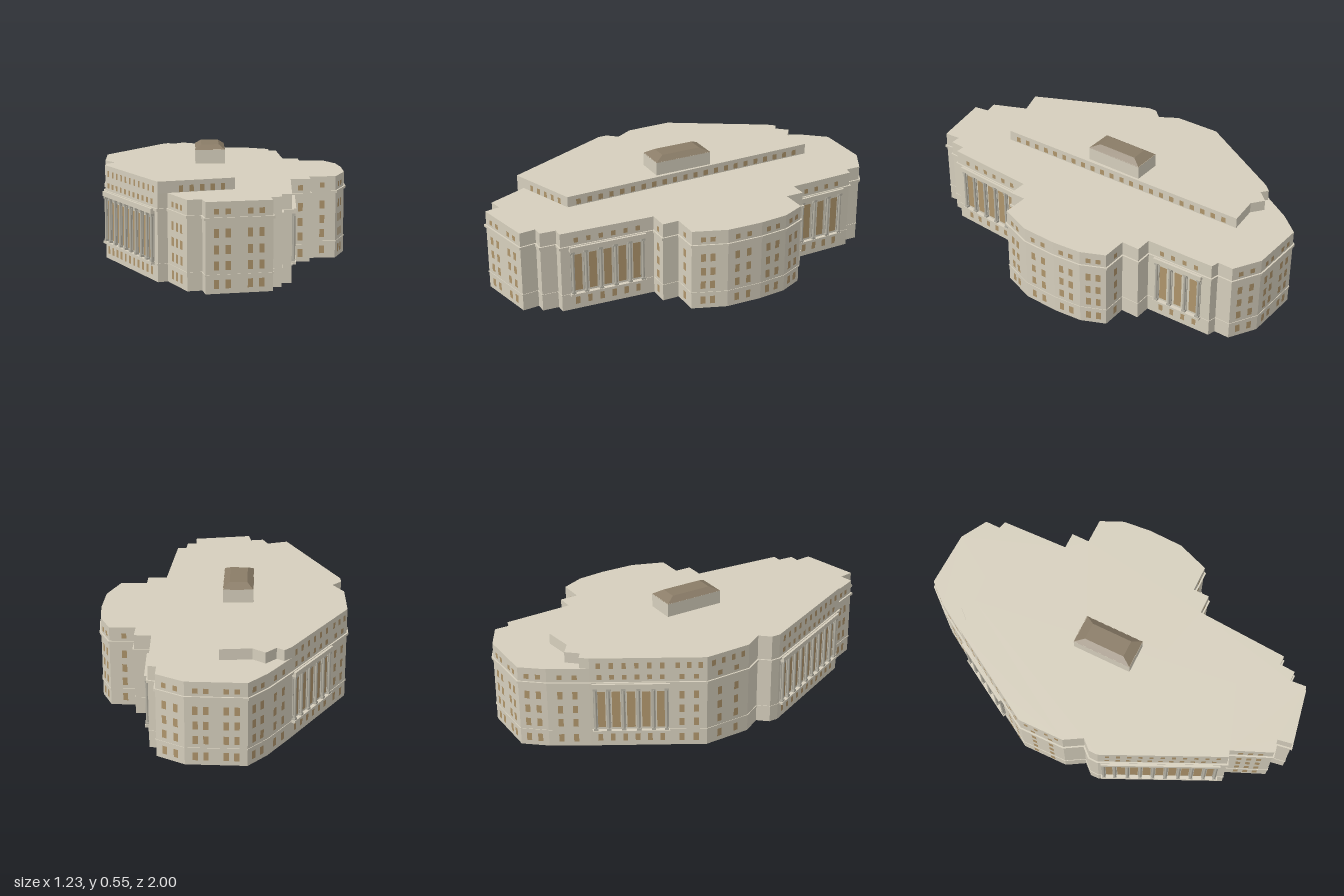
import * as THREE from 'three';
import { mergeGeometries } from 'three/addons/utils/BufferGeometryUtils.js';

const mat = (name, color) => {
  const m = new THREE.MeshStandardMaterial({ color });
  m.name = name;
  return m;
};

// Footprint corners [x, z], clockwise seen from above. Extra values describe the
// wall to the next corner: c = window columns, bays = colonnade bays, from/to = its extent.
const PLAN = [
  [-0.14, -0.993, { c: [0.17, 0.34, 0.66, 0.83] }],
  [0.142, -0.987, { c: [0.3, 0.7] }],
  [0.275, -0.912], [0.275, -0.835],
  [0.315, -0.825, { bays: 3, from: 0.15, to: 0.87, small: 4 }],
  [0.327, -0.48], [0.41, -0.48],
  [0.41, -0.388, { c: [0.45] }],
  [0.538, -0.388, { c: [0.3, 0.68] }],
  [0.591, -0.272, { c: [0.35, 0.72] }],
  [0.605, -0.13, { c: [0.38, 0.72] }],
  [0.6, 0.05, { c: [0.42, 0.68] }],
  [0.54, 0.213, { c: [0.5] }],
  [0.407, 0.213],
  [0.407, 0.297, { c: [0.5] }],
  [0.31, 0.297, { bays: 5, from: 0.11, to: 0.9, small: 6 }],
  [0.28, 0.77], [0.234, 0.77], [0.229, 0.85], [0.178, 0.85],
  [0.185, 0.932, { c: [0.17, 0.34, 0.67, 0.84] }],
  [-0.115, 0.99], [-0.128, 0.915],
  [-0.195, 0.928, { c: [0.28, 0.5, 0.72] }],
  [-0.283, 0.725],
  [-0.328, 0.742, { bays: 9, from: 0.06, to: 0.97, small: 11, attic: 11 }],
  [-0.598, 0.17], [-0.598, 0.125], [-0.553, 0.075],
  [-0.607, -0.015, { c: [0.3, 0.7], attic: 4 }],
  [-0.611, -0.25, { c: [0.3, 0.7], attic: 3 }],
  [-0.525, -0.395, { bays: 5, from: 0.03, to: 0.96, small: 6, attic: 6 }],
  [-0.333, -0.72, { c: [0.35, 0.7] }],
  [-0.228, -0.89, { c: [0.3, 0.7] }],
];
const ATTIC_EDGE = [[-0.333, -0.72], [-0.3, -0.755], [-0.265, -0.73], [-0.215, -0.785],
  [-0.155, -0.74], [-0.005, -0.755], [0.027, 0.62]];

// Upright prism over a plan polygon
function prism(points, y0, y1) {
  const shape = new THREE.Shape(points.map(([x, z]) => new THREE.Vector2(x, -z)));
  const g = new THREE.ExtrudeGeometry(shape, { depth: y1 - y0, bevelEnabled: false });
  return g.rotateX(-Math.PI / 2).translate(0, y0, 0);
}

// Outward direction of the wall a-b
function wall(a, b) {
  const dx = b[0] - a[0], dz = b[1] - a[1], len = Math.hypot(dx, dz);
  return { dx, dz, len, nx: dz / len, nz: -dx / len };
}

// Moves a geometry onto the wall a-b at fraction t, height y and distance out
function place(g, a, b, t, y, out = 0) {
  const w = wall(a, b);
  return g.rotateY(Math.atan2(w.nx, w.nz))
    .translate(a[0] + w.dx * t + w.nx * out, y, a[1] + w.dz * t + w.nz * out);
}

// Grows the plan outward by d with mitred corners
function grow(points, d) {
  return points.map((p, i) => {
    const u = wall(points.at(i - 1), p), v = wall(p, points[(i + 1) % points.length]);
    const k = d / (1 + u.nx * v.nx + u.nz * v.nz);
    return [p[0] + (u.nx + v.nx) * k, p[1] + (u.nz + v.nz) * k];
  });
}

export function createModel() {
  const stone = mat('stone', 0xd6cfbd);
  const trim = mat('greyStone', 0xb9b5a7);
  const glass = mat('amberGlass', 0xb0966c);
  const roofBrown = mat('brownRoof', 0x8a7c67);

  const model = new THREE.Group();
  model.name = 'building';
  const add = (name, geometry, material) => {
    const m = new THREE.Mesh(geometry, material);
    m.name = name;
    model.add(m);
  };

  // Main block, ledges and raised west block
  add('mainBlock', prism(PLAN, 0, 0.41), stone);
  add('upperLedge', prism(grow(PLAN, 0.008), 0.328, 0.34), stone);
  add('lowerLedge', prism(grow(PLAN, 0.003), 0.08, 0.086), stone);
  const first = PLAN.findIndex((p) => p[1] === 0.742);
  const west = PLAN.slice(first, PLAN.length - 2);
  add('raisedBlock', prism([...west, ...ATTIC_EDGE], 0.41, 0.464), stone);

  const windows = [], bayWindows = [], pilasters = [], columns = [], beams = [];
  const pane = (list, a, b, t, y, w, h) =>
    list.push(place(new THREE.PlaneGeometry(w, h), a, b, t, y, 0.0015));
  const box = (list, a, b, t, y, w, h, depth) =>
    list.push(place(new THREE.BoxGeometry(w, h, depth), a, b, t, y, depth / 2 - 0.001));
  const row = (a, b, n, y, t0, t1, w, h) => {
    for (let i = 0; i < n; i++) pane(windows, a, b, t0 + (t1 - t0) * (i + 0.5) / n, y, w, h);
  };

  PLAN.forEach((a, i) => {
    const b = PLAN[(i + 1) % PLAN.length], spec = a[2];
    if (!spec) return;
    const { len } = wall(a, b);
    // Plain window columns
    for (const t of spec.c ?? []) {
      for (const y of [0.043, 0.125, 0.197, 0.27]) pane(windows, a, b, t, y, 0.024, 0.04);
      pane(windows, a, b, t, 0.366, 0.024, 0.025);
    }
    if (spec.attic) row(a, b, spec.attic, 0.425, 0.03, 0.97, 0.02, 0.03);
    if (!spec.bays) return;

    // Colonnade with tall windows, small windows above and below
    const { bays, from, to, small } = spec;
    const span = (to - from) * len, mid = (from + to) / 2, pitch = (to - from) / bays;
    row(a, b, small, 0.366, from, to, 0.022, 0.025);
    row(a, b, small, 0.045, from, to, 0.022, 0.038);
    box(beams, a, b, mid, 0.325, span + 0.012, 0.024, 0.021);
    box(beams, a, b, mid, 0.083, span + 0.012, 0.012, 0.021);
    for (let k = 0; k <= bays; k++) {
      const t = from + k * pitch;
      if (k < bays) pane(bayWindows, a, b, t + pitch / 2, 0.195, 0.039, 0.19);
      const tc = Math.min(Math.max(t, from + 0.009 / len), to - 0.009 / len);
      box(pilasters, a, b, tc, 0.2, 0.02, 0.226, 0.006);
      columns.push(place(new THREE.CylinderGeometry(0.0065, 0.0075, 0.206, 10), a, b, tc, 0.197, 0.0095));
      for (const y of [0.094, 0.307]) box(columns, a, b, tc, y, 0.02, 0.012, 0.018);
    }
  });

  // Attic windows along the south and east faces of the raised block
  row([0.027, 0.62], [-0.328, 0.742], 5, 0.427, 0.09, 0.77, 0.021, 0.03);
  row([-0.005, -0.755], [0.027, 0.62], 22, 0.43, 0.03, 0.98, 0.024, 0.028);

  add('windows', mergeGeometries(windows), glass);
  add('tallWindows', mergeGeometries(bayWindows), glass);
  add('pilasters', mergeGeometries(pilasters), trim);
  add('columns', mergeGeometries(columns), trim);
  add('colonnadeBeams', mergeGeometries(beams), stone);

  // Rooftop house with a hipped, flat-topped roof
  add('roofHouse', new THREE.BoxGeometry(0.148, 0.075, 0.305).translate(-0.078, 0.495, -0.03), stone);
  const hip = new THREE.BoxGeometry(0.15, 0.023, 0.307);
  const p = hip.attributes.position;
  for (let i = 0; i < p.count; i++) {
    if (p.getY(i) > 0) p.setXYZ(i, p.getX(i) * 0.58, p.getY(i), p.getZ(i) * 0.68);
  }
  hip.computeVertexNormals();
  add('hippedRoof', hip.translate(-0.078, 0.543, -0.03), roofBrown);
  return model;
}
